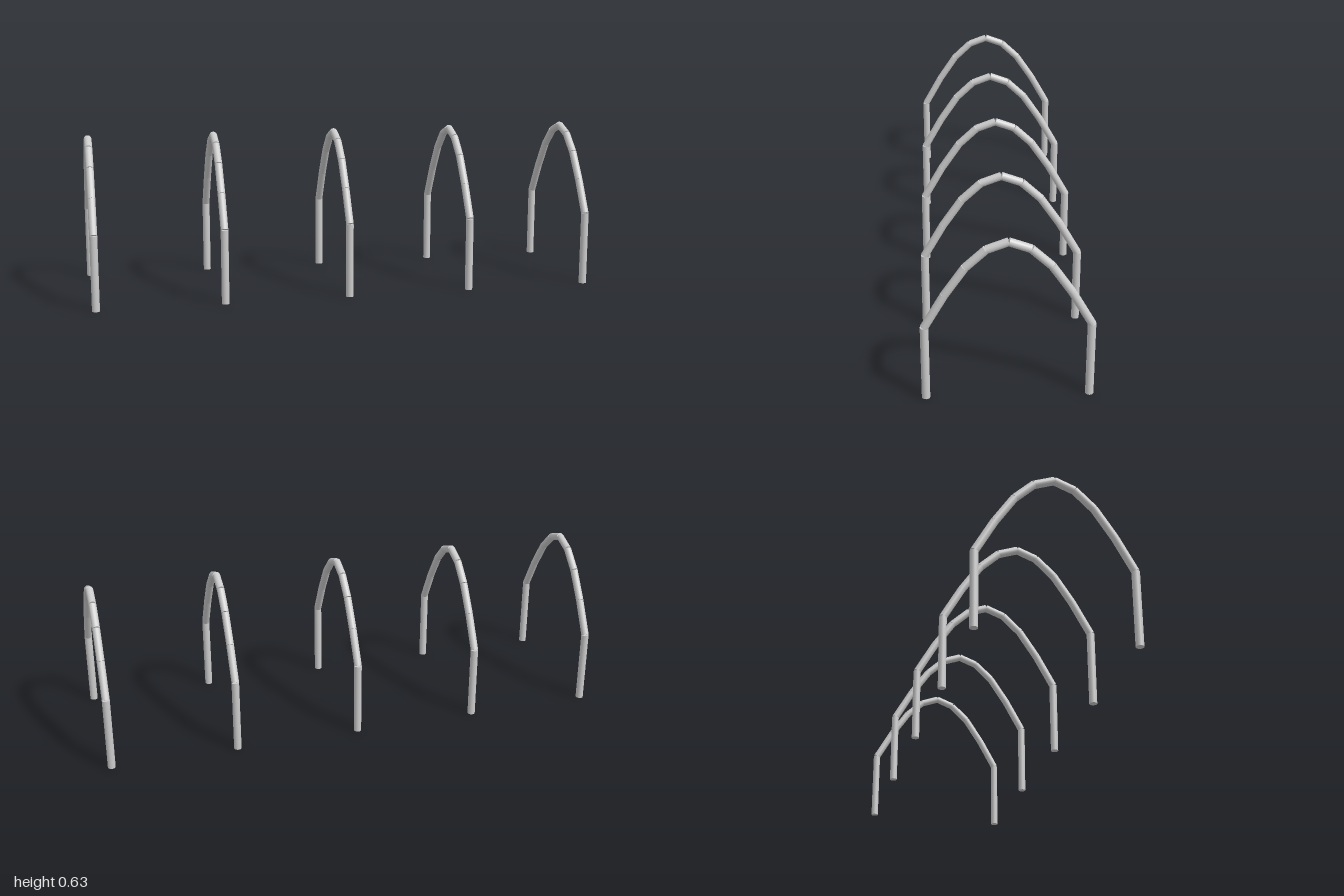
import * as THREE from 'three';

const RADIUS = 0.015;
const material = new THREE.MeshStandardMaterial({ color: 0xcccccc });

// Straight capped tube between two points of the arch plane, given as [z, y]
function tube(name, [z0, y0], [z1, y1]) {
  const a = new THREE.Vector3(0, y0, z0);
  const b = new THREE.Vector3(0, y1, z1);
  const dir = b.clone().sub(a);
  const mesh = new THREE.Mesh(new THREE.CylinderGeometry(RADIUS, RADIUS, dir.length(), 16), material);
  mesh.position.copy(a).add(b).multiplyScalar(0.5);
  mesh.quaternion.setFromUnitVectors(new THREE.Vector3(0, 1, 0), dir.normalize());
  mesh.name = name;
  return mesh;
}

// One hoop: a post on each side and four bow segments up to the apex
function createHoop() {
  const hoop = new THREE.Group();
  const points = [[0.288, 0], [0.288, 0.29], [0.217, 0.417], [0.146, 0.522], [0.075, 0.589], [0, 0.617]];
  for (const side of [1, -1]) {
    const label = side > 0 ? 'front' : 'back';
    for (let i = 0; i < points.length - 1; i++) {
      const [z0, y0] = points[i];
      const [z1, y1] = points[i + 1];
      const name = i === 0 ? `${label}Post` : `${label}BowSegment${i}`;
      hoop.add(tube(name, [side * z0, y0], [side * z1, y1]));
    }
  }
  return hoop;
}

export function createModel() {
  const model = new THREE.Group();
  model.name = 'hoopRow';
  // Five evenly spaced hoops along x
  for (let i = 0; i < 5; i++) {
    const hoop = createHoop();
    hoop.name = `hoop${i + 1}`;
    hoop.position.x = (i - 2) * 0.4925;
    model.add(hoop);
  }
  return model;
}
